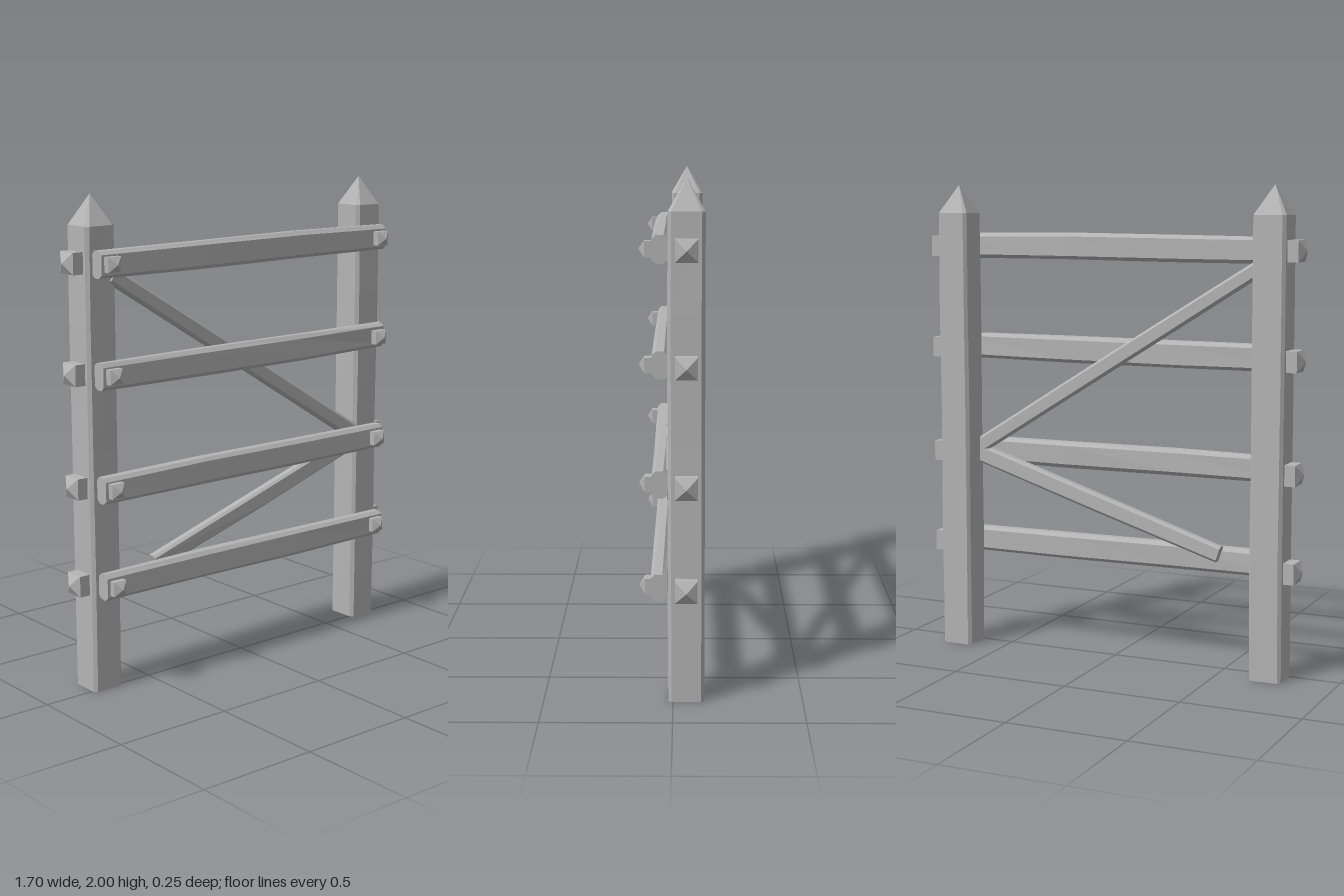
import * as THREE from 'three';

const stone = new THREE.MeshStandardMaterial({ color: 0xb4b4b4 });
stone.name = 'plain grey';

// Small seeded generator for hand-hewn unevenness
let seed = 7;
const wobble = (amount) => {
  seed = (seed * 16807) % 2147483647;
  return (seed / 2147483647 - 0.5) * 2 * amount;
};

// Square cross-section, with cut corners when c > 0
function section(w, d, c) {
  const x = w / 2, z = d / 2;
  if (!c) return [[x, -z], [x, z], [-x, z], [-x, -z]];
  return [[x, -z + c], [x, z - c], [x - c, z], [-x + c, z],
    [-x, z - c], [-x, -z + c], [-x + c, -z], [x - c, -z]];
}

// Faceted bar along +y through rings [y, width, depth]; tip raises the end into a point
function bar(rings, c = 0, tip = 0, rough = 0) {
  const loops = rings.map(([y, w, d]) => {
    const ox = wobble(rough), oz = wobble(rough);
    return section(w, d, c).map(([x, z]) =>
      new THREE.Vector3(x + ox + wobble(rough / 2), y, z + oz + wobble(rough / 2)));
  });
  const pos = [];
  const tri = (...pts) => pts.forEach((p) => pos.push(p.x, p.y, p.z));
  const first = loops[0], last = loops[loops.length - 1], n = first.length;
  const start = new THREE.Vector3(0, rings[0][0], 0);
  const end = new THREE.Vector3(0, rings[rings.length - 1][0] + tip, 0);
  for (let j = 0; j < n; j++) {
    const k = (j + 1) % n;
    for (let i = 0; i < loops.length - 1; i++) {
      const lo = loops[i], hi = loops[i + 1];
      tri(lo[j], hi[j], lo[k]);
      tri(lo[k], hi[j], hi[k]);
    }
    tri(start, first[j], first[k]);
    tri(end, last[k], last[j]);
  }
  const geo = new THREE.BufferGeometry();
  geo.setAttribute('position', new THREE.Float32BufferAttribute(pos, 3));
  geo.computeVertexNormals();
  return geo;
}

export function createModel() {
  const model = new THREE.Group();
  model.name = 'fenceGate';
  const add = (name, geo, x, y, z) => {
    const mesh = new THREE.Mesh(geo, stone);
    mesh.name = name;
    mesh.position.set(x, y, z);
    model.add(mesh);
    return mesh;
  };

  const postX = 0.712, postZ = -0.05;
  const railHeights = [0.45, 0.85, 1.305, 1.74];

  // Posts with pointed tops
  for (const side of [-1, 1]) {
    const rings = [[0, 0.136, 0.138], [0.5, 0.138, 0.142], [1.0, 0.136, 0.14],
      [1.5, 0.138, 0.142], [1.88, 0.136, 0.138]];
    add(side > 0 ? 'leftPost' : 'rightPost', bar(rings, 0.013, 0.12, 0.002), side * postX, 0, postZ);
  }

  // Pyramid-headed bolts
  const frontBolt = bar([[0, 0.06, 0.06], [0.038, 0.06, 0.06]], 0, 0.022);
  const sideBolt = bar([[0, 0.086, 0.086], [0.055, 0.086, 0.086]], 0, 0.025);

  railHeights.forEach((y, i) => {
    // Rails across the front of the posts
    const rings = [[-0.755, 0.107, 0.06], [-0.25, 0.112, 0.062], [0.25, 0.112, 0.062], [0.755, 0.107, 0.06]];
    add('rail' + (i + 1), bar(rings, 0.015, 0, 0.003), 0, y, 0.052).rotation.z = -Math.PI / 2;
    for (const side of [-1, 1]) {
      add('frontBolt', frontBolt, side * postX, y, 0.07).rotation.x = Math.PI / 2;
      add('sideBolt', sideBolt, side * 0.77, y, postZ).rotation.z = -side * Math.PI / 2;
    }
  });

  // Slanted braces behind the rails
  const brace = (name, x1, y1, x2, y2, w) => {
    const len = Math.hypot(x2 - x1, y2 - y1);
    const rings = [[0, w - 0.006, 0.044], [len / 2, w, 0.046], [len, w, 0.044]];
    add(name, bar(rings, 0.01, 0, 0.002), x1, y1, 0.006)
      .rotation.z = Math.atan2(y2 - y1, x2 - x1) - Math.PI / 2;
  };
  brace('upperBrace', -0.66, 1.685, 0.66, 0.865, 0.067);
  brace('lowerBrace', -0.47, 0.483, 0.66, 0.842, 0.076);

  return model;
}
